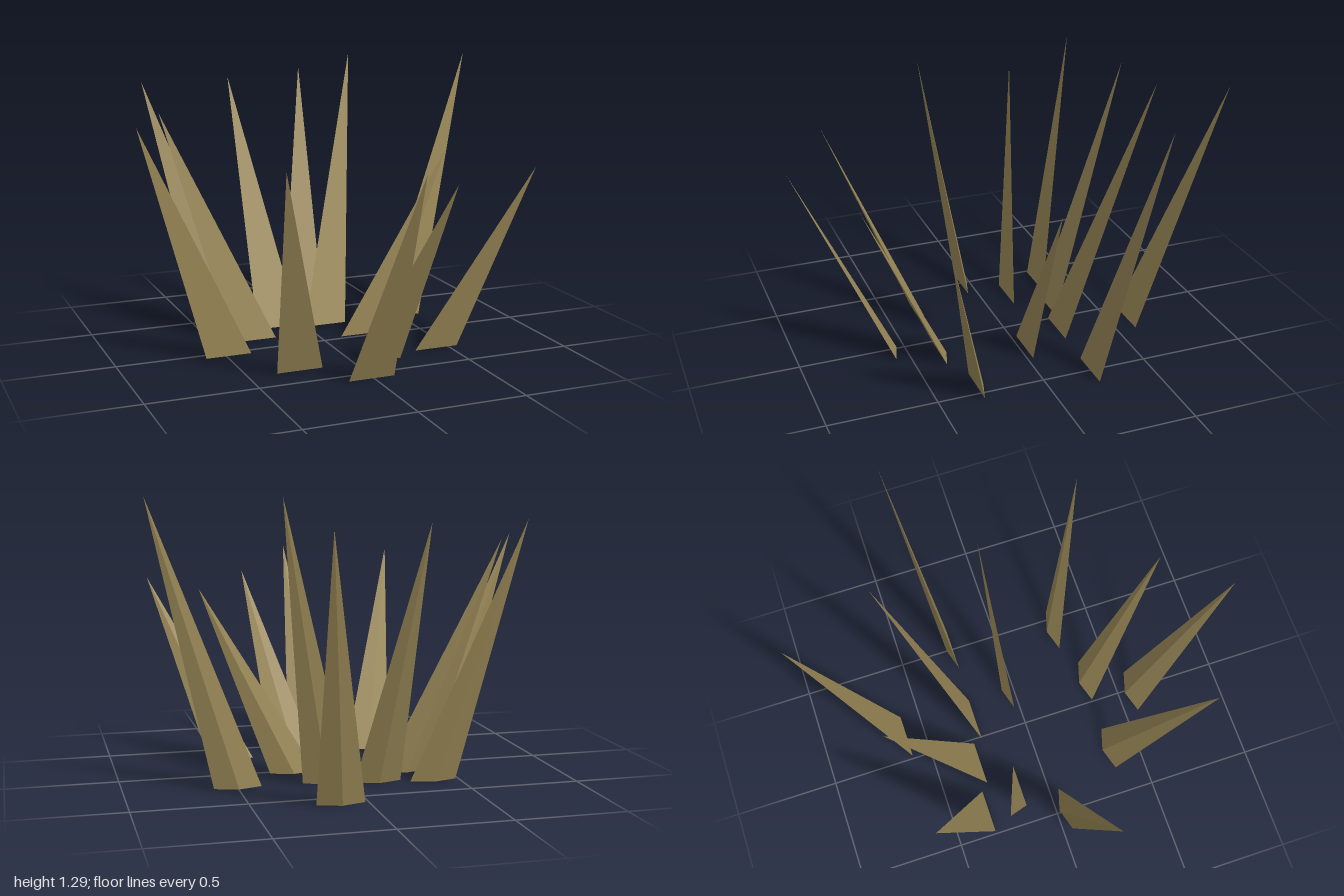
import * as THREE from 'three';

const HALF_WIDTH = 0.107;
const DEPTH = 0.032;

// Each blade: base centre x, base front z, then tip x, y, z
const BLADES = [
  [-0.01, 0.567, 0.025, 0.97, 1.0],
  [-0.261, 0.355, -0.46, 0.967, 0.735],
  [0.116, 0.363, 0.295, 0.867, 0.755],
  [0.437, 0.297, 0.8, 0.867, 0.525],
  [-0.488, 0.047, -0.905, 1.08, 0.12],
  [0.204, -0.027, 0.63, 0.867, -0.022],
  [-0.304, -0.131, -0.697, 1.08, -0.297],
  [-0.38, -0.318, -0.695, 1.19, -0.61],
  [-0.13, -0.281, -0.237, 1.187, -0.695],
  [0.098, -0.236, 0.36, 1.293, -0.572],
  [0.122, -0.593, 0.255, 1.187, -1.0],
  [0.498, -0.23, 0.903, 1.293, -0.373],
];

// Three-sided blade: flat front, ridged back, closed base, sharp leaning tip
function bladeGeometry(tip) {
  const left = [-HALF_WIDTH, 0, 0];
  const right = [HALF_WIDTH, 0, 0];
  const back = [0, 0, -DEPTH];
  const faces = [
    left, right, tip,
    right, back, tip,
    back, left, tip,
    left, back, right,
  ];
  const geometry = new THREE.BufferGeometry();
  geometry.setAttribute('position', new THREE.Float32BufferAttribute(faces.flat(), 3));
  geometry.computeVertexNormals();
  return geometry;
}

export function createModel() {
  const model = new THREE.Group();
  model.name = 'grassTuft';

  const dryGrass = new THREE.MeshStandardMaterial({ color: 0x9a8857, flatShading: true });
  dryGrass.name = 'dryGrass';

  BLADES.forEach(([x, z, tipX, tipY, tipZ], i) => {
    const blade = new THREE.Mesh(bladeGeometry([tipX - x, tipY, tipZ - z]), dryGrass);
    blade.name = `grassBlade${i + 1}`;
    blade.position.set(x, 0, z);
    model.add(blade);
  });

  return model;
}
